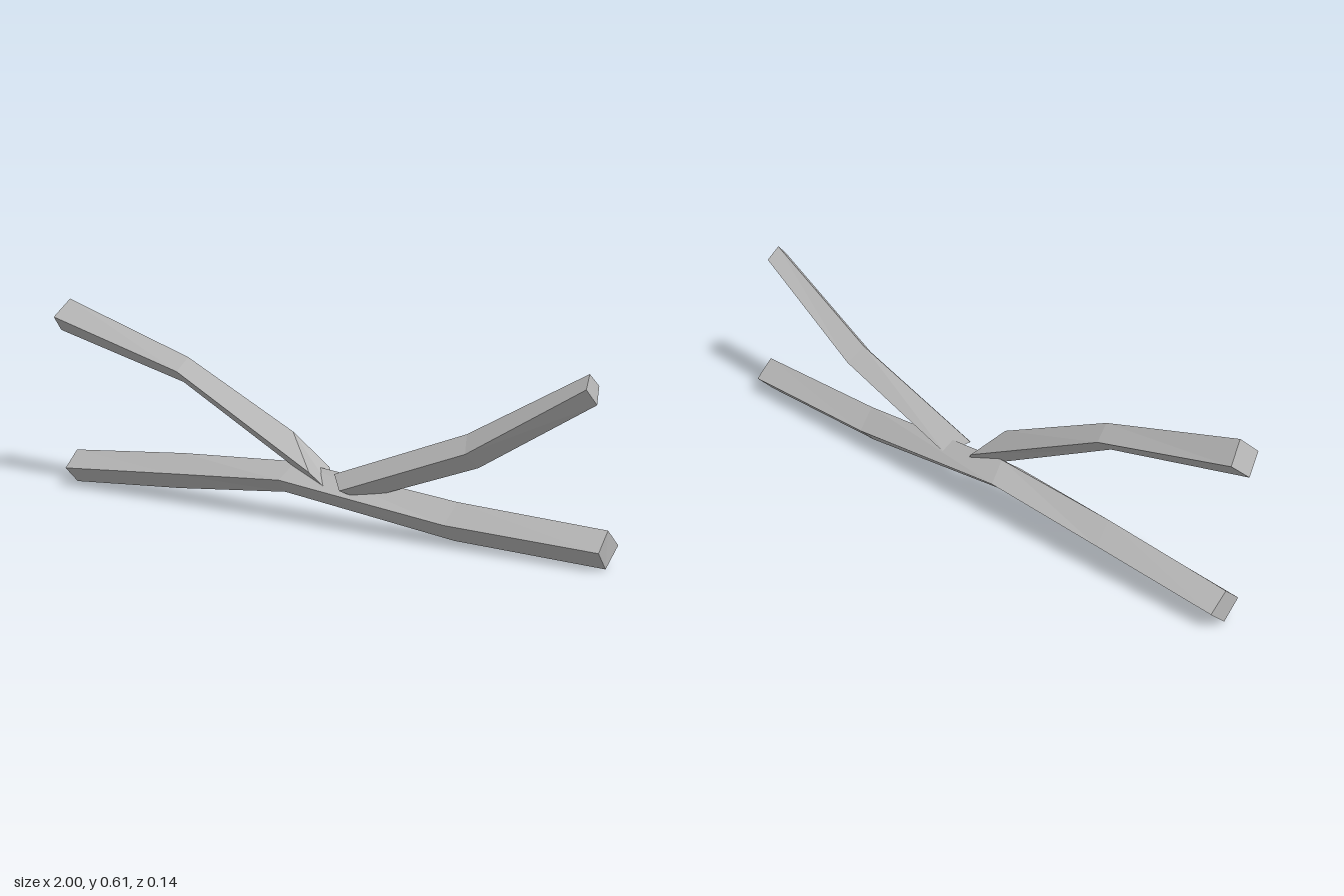
import * as THREE from 'three';

// Diamond-section beam. Each section, from -x to +x:
// [topX, topY, sideX, sideY, bottomX, bottomY, ridgeZ, frontZ, backZ]
function diamondBeam(name, sections, material) {
  const rings = sections.map(([tx, ty, sx, sy, bx, by, rz, fz, kz]) => [
    [tx, ty, rz], [sx, sy, fz], [bx, by, rz], [sx, sy, kz],
  ]);
  const pos = [];
  const quad = (a, b, c, d) => pos.push(...a, ...b, ...c, ...a, ...c, ...d);
  for (let r = 0; r < rings.length - 1; r++) {
    const A = rings[r], B = rings[r + 1];
    for (let i = 0; i < 4; i++) {
      const j = (i + 1) % 4;
      quad(A[i], A[j], B[j], B[i]);
    }
  }
  // end caps
  const first = rings[0], last = rings[rings.length - 1];
  quad(first[0], first[3], first[2], first[1]);
  quad(last[0], last[1], last[2], last[3]);

  const geometry = new THREE.BufferGeometry();
  geometry.setAttribute('position', new THREE.Float32BufferAttribute(pos, 3));
  geometry.computeVertexNormals();
  const mesh = new THREE.Mesh(geometry, material);
  mesh.name = name;
  return mesh;
}

export function createModel() {
  const group = new THREE.Group();
  group.name = 'forkedBranch';
  const grey = new THREE.MeshStandardMaterial({ color: 0xb8b8b8, flatShading: true });
  grey.name = 'plain grey';

  // long gently arched limb along the ground
  group.add(diamondBeam('mainLimb', [
    [-0.95, 0.115, -0.95, 0.064, -0.95, 0.01, 0, 0.058, -0.062],
    [-0.51, 0.155, -0.52, 0.098, -0.53, 0.04, -0.003, 0.056, -0.066],
    [-0.08, 0.18, -0.10, 0.13, -0.12, 0.08, -0.007, 0.055, -0.07],
    [0.50, 0.13, 0.49, 0.071, 0.49, 0.013, -0.003, 0.058, -0.063],
    [0.995, 0.115, 0.997, 0.061, 0.99, 0.003, 0.003, 0.06, -0.056],
  ], grey));

  // right limb, rising towards -x and cut off where it meets the main limb
  group.add(diamondBeam('rightLimb', [
    [-0.96, 0.61, -0.98, 0.556, -1.0, 0.505, 0.008, 0.066, -0.05],
    [-0.48, 0.465, -0.49, 0.425, -0.50, 0.385, 0.008, 0.055, -0.04],
    [-0.08, 0.275, 0.02, 0.17, 0.09, 0.08, 0.008, 0.066, -0.04],
  ], grey));

  // left limb, rising towards +x
  group.add(diamondBeam('leftLimb', [
    [0.08, 0.165, 0.13, 0.128, 0.18, 0.10, 0.02, 0.067, -0.04],
    [0.53, 0.335, 0.555, 0.287, 0.57, 0.24, 0, 0.05, -0.05],
    [0.925, 0.55, 0.935, 0.512, 0.95, 0.465, 0, 0.037, -0.038],
  ], grey));

  return group;
}
